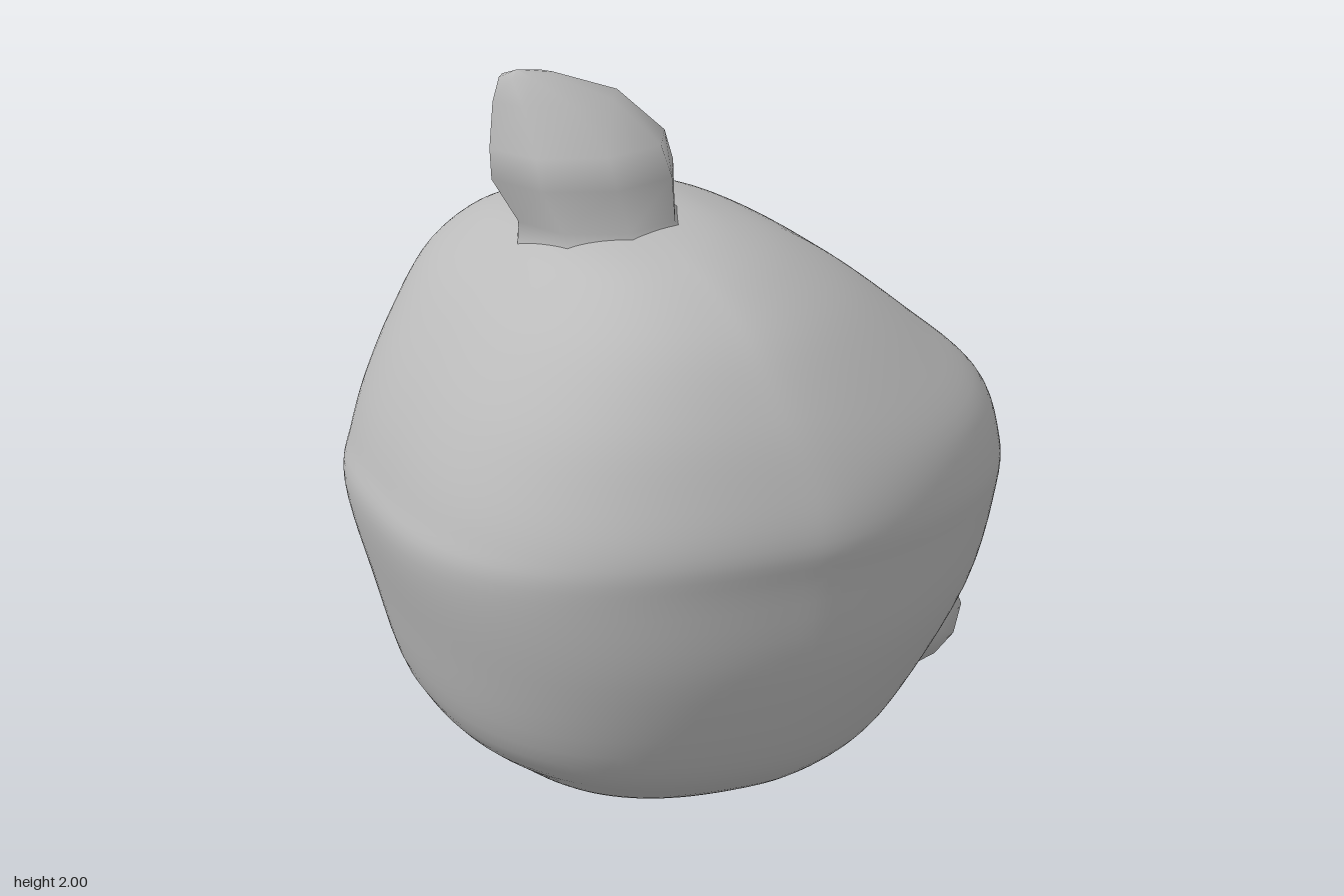
import * as THREE from 'three';

const { lerp, smoothstep } = THREE.MathUtils;

// Smooth (Catmull-Rom) blend between neighbouring sections
function spline(p0, p1, p2, p3, t) {
  return p1 + 0.5 * t * (p2 - p0 + t * (2 * p0 - 5 * p1 + 4 * p2 - p3 + t * (3 * (p1 - p2) + p3 - p0)));
}

// Skin horizontal sections [y, xMin, xMax, zMin, zMax]; roundness(cos, sin, y) gives the superellipse exponent.
function skin(rows, sides, steps, roundness, reshape) {
  const pos = [], index = [];
  const count = (rows.length - 1) * steps + 1;
  const row = (i) => rows[Math.max(0, Math.min(rows.length - 1, i))];
  for (let r = 0; r < count; r++) {
    const k = Math.floor(r / steps);
    const [y, x0, x1, z0, z1] = row(k).map((v, i) => spline(row(k - 1)[i], v, row(k + 1)[i], row(k + 2)[i], r / steps - k));
    for (let s = 0; s < sides; s++) {
      const a = (s / sides) * Math.PI * 2, c = Math.cos(a), q = Math.sin(a);
      const n = roundness(c, q, y);
      const rad = (Math.abs(c) ** n + Math.abs(q) ** n) ** (-1 / n);
      const p = new THREE.Vector3((x0 + x1) / 2 + ((x1 - x0) / 2) * rad * c, y, (z0 + z1) / 2 + ((z1 - z0) / 2) * rad * q);
      if (reshape) reshape(p);
      pos.push(p.x, p.y, p.z);
      if (r < count - 1) {
        const i = r * sides + s, j = r * sides + (s + 1) % sides;
        index.push(i, i + sides, j, j, i + sides, j + sides);
      }
    }
  }
  const geo = new THREE.BufferGeometry();
  geo.setAttribute('position', new THREE.Float32BufferAttribute(pos, 3));
  geo.setIndex(index);
  geo.computeVertexNormals();
  return geo;
}

// Hollow the face out under an arched brow, leaving its middle bulging
function carveFace(p) {
  if (p.z > -0.35) return;
  const d = Math.hypot((p.x + 0.08) / 0.58, (p.y - 0.7) / 0.58);
  if (d >= 1) return;
  const groove = 0.1 * smoothstep(d, 0.25, 0.8) * (1 - smoothstep(d, 0.84, 1));
  const bulge = 0.045 * (1 - smoothstep(d, 0.3, 0.7)) * smoothstep(p.y, 0.62, 0.76);
  p.z += groove * smoothstep(p.y, 0.42, 0.85) - bulge;
}

export function createModel() {
  const model = new THREE.Group();
  const grey = new THREE.MeshStandardMaterial({ color: 0xbbbbbb });
  grey.name = 'grey';
  const add = (name, geo) => {
    const mesh = new THREE.Mesh(geo, grey);
    mesh.name = name;
    model.add(mesh);
    return mesh;
  };

  // Round lopsided body, squarer around the brow at the back
  const bodyRows = [
    [0, -0.101, -0.099, -0.031, -0.029],
    [0.02, -0.27, 0.1, -0.2, 0.12],
    [0.1, -0.52, 0.36, -0.5, 0.42],
    [0.2, -0.67, 0.52, -0.74, 0.6],
    [0.33, -0.8, 0.62, -0.8, 0.71],
    [0.6, -0.88, 0.77, -0.82, 0.81],
    [0.84, -0.935, 0.835, -0.81, 0.84],
    [0.96, -0.91, 0.83, -0.81, 0.85],
    [1.1, -0.86, 0.78, -0.8, 0.81],
    [1.25, -0.78, 0.61, -0.78, 0.74],
    [1.4, -0.67, 0.42, -0.76, 0.63],
    [1.5, -0.56, 0.25, -0.67, 0.5],
    [1.56, -0.47, 0.1, -0.52, 0.36],
    [1.59, -0.36, -0.03, -0.32, 0.18],
    [1.6, -0.201, -0.199, -0.031, -0.029],
  ];
  const bodyRoundness = (c, q, y) => {
    if (q >= 0) return c > 0 ? 1.8 : 2.6;
    return c > 0 ? lerp(2.1, 3.7, smoothstep(y, 0.5, 1.1)) : lerp(2.1, 2.9, smoothstep(y, 0.15, 1));
  };
  add('body', skin(bodyRows, 144, 5, bodyRoundness, carveFace));

  // Pointed tuft leaning to one side, flared where it meets the body
  const tuftRows = [
    [1.54, -0.5, 0, -0.32, 0.24],
    [1.6, -0.49, -0.05, -0.28, 0.17],
    [1.72, -0.56, -0.05, -0.3, 0.18],
    [1.8, -0.56, -0.07, -0.28, 0.14],
    [1.92, -0.545, -0.2, -0.21, 0.05],
    [1.985, -0.53, -0.38, -0.12, -0.02],
    [2, -0.481, -0.479, -0.071, -0.069],
  ];
  add('tuft', skin(tuftRows, 8, 1, () => 2));

  // Rounded stub low on the side
  const stubProfile = [[0.18, -0.15], [0.19, 0.05], [0.2, 0.18], [0.18, 0.28], [0.12, 0.355], [0, 0.375]];
  const stub = add('stub', new THREE.LatheGeometry(stubProfile.map(([r, h]) => new THREE.Vector2(r, h)), 8));
  stub.position.set(0.58, 0.325, -0.27);
  stub.quaternion.setFromUnitVectors(new THREE.Vector3(0, 1, 0), new THREE.Vector3(0.86, -0.5, 0).normalize());

  // Diamond eyes turned slightly outwards
  for (const side of [-1, 1]) {
    const eye = add(side > 0 ? 'leftEye' : 'rightEye', new THREE.OctahedronGeometry(1));
    eye.scale.set(0.125, 0.125, 0.07);
    eye.position.set(-0.085 + side * 0.29, 0.68, -0.782);
    eye.rotation.y = -side * 0.4;
  }

  // Thin ledge between the eyes
  const ledge = add('mouthLedge', new THREE.BoxGeometry(0.34, 0.03, 0.06));
  ledge.position.set(-0.1, 0.69, -0.82);

  return model;
}
